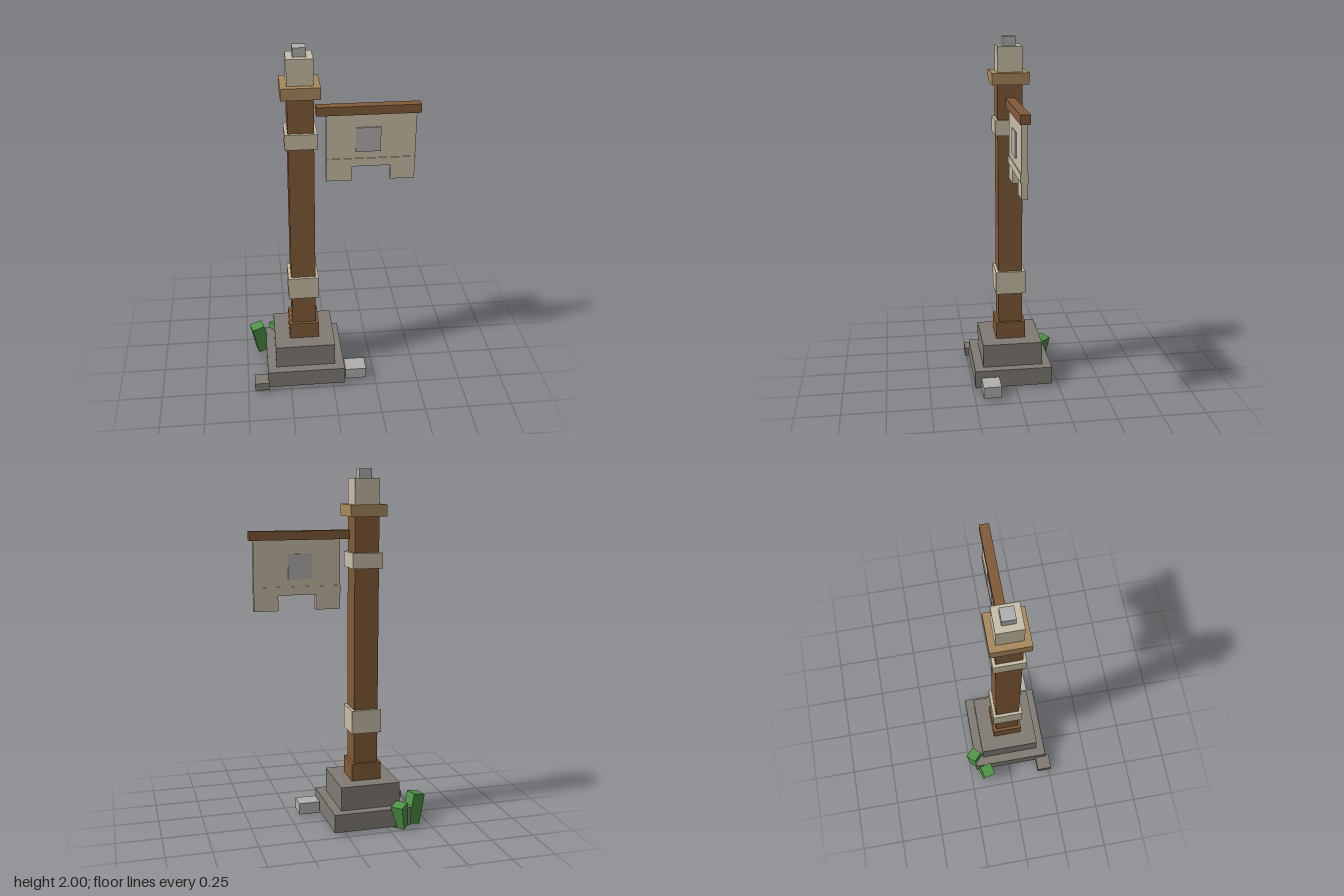
import * as THREE from 'three';

const mat = (name, color) => {
  const m = new THREE.MeshStandardMaterial({ color });
  m.name = name;
  return m;
};

export function createModel() {
  const wood = mat('brown wood', 0x825b38);
  const paleWood = mat('pale wood', 0xaa895d);
  const cloth = mat('cream', 0xc9bfa8);
  const stone = mat('dark stone', 0x817b74);
  const paleStone = mat('pale stone', 0xb1b0ae);
  const leaf = mat('leaf green', 0x4f9646);

  const root = new THREE.Group();
  root.name = 'signPost';

  const box = (name, material, w, h, d, x, y, z, parent = root) => {
    const mesh = new THREE.Mesh(new THREE.BoxGeometry(w, h, d), material);
    mesh.name = name;
    mesh.position.set(x, y, z);
    parent.add(mesh);
    return mesh;
  };

  // Square tiers of the post: name, material, width, bottom, top
  const column = new THREE.Group();
  column.name = 'column';
  column.position.set(-0.158, 0, 0.0125);
  root.add(column);
  const tiers = [
    ['lowerPlinth', stone, 0.448, 0.012, 0.117],
    ['upperPlinth', stone, 0.345, 0.117, 0.255],
    ['postFoot', wood, 0.171, 0.255, 0.356],
    ['post', wood, 0.138, 0.356, 1.748],
    ['lowerBand', cloth, 0.171, 0.534, 0.668],
    ['upperBand', cloth, 0.171, 1.467, 1.552],
    ['collar', paleWood, 0.206, 1.748, 1.812],
    ['capBlock', cloth, 0.138, 1.812, 1.952],
    ['finial', paleStone, 0.069, 1.952, 2.0],
  ];
  for (const [name, material, w, y0, y1] of tiers) {
    box(name, material, w, y1 - y0, w, 0, (y0 + y1) / 2, 0, column);
  }

  // Cross beam holding the banner
  box('beam', wood, 0.555, 0.048, 0.052, 0.2035, 1.65, 0.0125);

  // Banner with a notch cut from its lower edge
  const outline = [
    [-0.021, 1.627], [-0.021, 1.243], [0.117, 1.243], [0.117, 1.328],
    [0.327, 1.328], [0.327, 1.243], [0.46, 1.243], [0.46, 1.627],
  ].map(([x, y]) => new THREE.Vector2(x, y));
  const banner = new THREE.Mesh(
    new THREE.ExtrudeGeometry(new THREE.Shape(outline), { depth: 0.032, bevelEnabled: false }),
    cloth,
  );
  banner.name = 'banner';
  banner.position.z = -0.0035;
  root.add(banner);
  box('bannerFold', cloth, 0.483, 0.046, 0.041, 0.2195, 1.351, 0.0125);

  // Square patch showing on both faces of the banner
  box('bannerPatch', paleStone, 0.134, 0.138, 0.046, 0.204, 1.483, 0.0125);

  // Loose stones beside the plinth
  box('paleRock', paleStone, 0.122, 0.067, 0.103, 0.136, 0.046, 0.151);
  box('darkRock', stone, 0.086, 0.05, 0.086, -0.4185, 0.038, 0.2185);

  // Leaning grass blades: size, position, yaw, lean
  const blades = [
    [[0.075, 0.175, 0.07], [-0.418, 0.094, -0.152], 0.26, 0.2],
    [[0.068, 0.138, 0.068], [-0.321, 0.075, -0.205], -2.36, 0.24],
  ];
  for (const [size, pos, yaw, lean] of blades) {
    box('grassBlade', leaf, ...size, ...pos).rotation.set(0, yaw, lean, 'YXZ');
  }

  return root;
}
